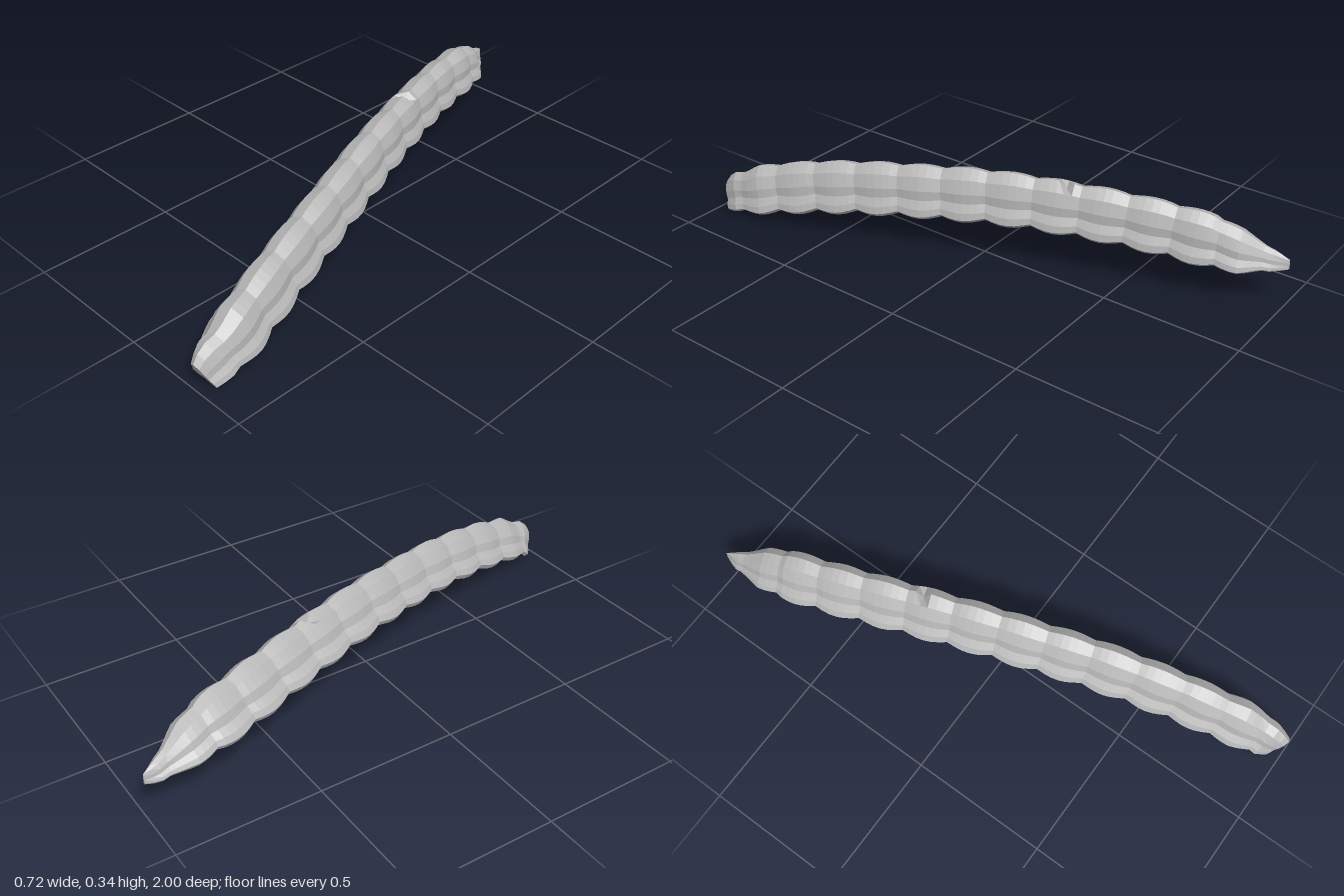
import * as THREE from 'three';

// Stations along the pod: z, centre x, underside y, half width, height
const stations = [
  [-1, -0.32, 0.145, 0.004, 0.035],
  [-0.95, -0.306, 0.137, 0.04, 0.072],
  [-0.85, -0.279, 0.13, 0.08, 0.135],
  [-0.75, -0.255, 0.133, 0.094, 0.172],
  [-0.6, -0.213, 0.145, 0.094, 0.178],
  [-0.45, -0.162, 0.156, 0.093, 0.179],
  [-0.3, -0.109, 0.162, 0.093, 0.18],
  [-0.15, -0.055, 0.164, 0.093, 0.181],
  [0, 0, 0.159, 0.094, 0.182],
  [0.3, 0.106, 0.132, 0.093, 0.181],
  [0.45, 0.154, 0.11, 0.093, 0.18],
  [0.6, 0.2, 0.082, 0.093, 0.178],
  [0.8, 0.257, 0.036, 0.093, 0.166],
  [0.9, 0.282, 0.014, 0.083, 0.135],
  [0.95, 0.294, 0.003, 0.055, 0.092],
];

// Half of the rounded triangular cross-section, from underside groove to ridge
const half = [
  [0, 0.12], [0.45, 0.03], [0.86, 0], [1, 0.1], [0.92, 0.24],
  [0.72, 0.4], [0.66, 0.6], [0.42, 0.86], [0, 1],
];
const section = [...half, ...half.slice(1, -1).reverse().map(([u, v]) => [-u, v])];
const segment = 0.15;

function stationAt(z) {
  let i = 0;
  while (i < stations.length - 2 && z > stations[i + 1][0]) i++;
  const a = stations[i], b = stations[i + 1];
  const t = THREE.MathUtils.clamp((z - a[0]) / (b[0] - a[0]), 0, 1);
  return a.map((v, k) => v + (b[k] - v) * t);
}

// One ring square to the path, rolled a little and swollen between the pinches
function ring(z) {
  const [, x, y, w, h] = stationAt(z);
  const p = stationAt(Math.max(z - 0.1, -1)), q = stationAt(Math.min(z + 0.1, 0.95));
  const dz = q[0] - p[0];
  const tip = THREE.MathUtils.smoothstep(z, 0.85, 0.95);
  const fade = THREE.MathUtils.smoothstep(z, -1, -0.85);
  const lean = -(q[2] - p[2]) / dz * fade + 0.28 * tip;
  const yaw = Math.atan2(q[1] - p[1], dz);
  const roll = 0.17 * fade * (1 - 0.6 * tip);
  const drop = w * Math.sin(roll);
  const swell = 1 + 0.14 * (Math.abs(Math.cos(Math.PI * (z + 1) / segment)) - 0.8);
  return section.map(([u, v], j) => {
    const s = j === 0 ? 1 : swell;
    const a = u * w * s * (1 - 0.25 * tip * v);
    let b = (0.5 + (v - 0.5) * s) * (h - drop * 0.9);
    // Small nick in the top ridge
    if (j === half.length - 1 && Math.abs(z + 0.275) < 0.02) b -= 0.03;
    const side = a * Math.cos(roll) + b * Math.sin(roll);
    const up = drop + b * Math.cos(roll) - a * Math.sin(roll);
    return [
      x + side * Math.cos(yaw),
      Math.max(0, y + up),
      Math.max(-1, z - side * Math.sin(yaw) * fade * (1 - tip) + lean * up),
    ];
  });
}

function podGeometry() {
  const count = 78, n = section.length, positions = [], index = [];
  for (let i = 0; i <= count; i++) {
    for (const p of ring(-1 + 1.95 * i / count)) positions.push(...p);
  }
  for (let i = 0; i < count; i++) {
    for (let j = 0; j < n; j++) {
      const k = (j + 1) % n;
      const a = i * n + j, b = i * n + k, c = b + n, d = a + n;
      index.push(a, b, c, a, c, d);
    }
  }
  // Closed ends, fanned from the underside groove
  const last = count * n;
  for (let j = 1; j < n - 1; j++) {
    index.push(0, j + 1, j);
    index.push(last, last + j, last + j + 1);
  }
  const indexed = new THREE.BufferGeometry();
  indexed.setAttribute('position', new THREE.Float32BufferAttribute(positions, 3));
  indexed.setIndex(index);
  const geometry = indexed.toNonIndexed();
  geometry.computeVertexNormals();
  return geometry;
}

export function createModel() {
  const group = new THREE.Group();
  group.name = 'segmentedPod';
  const grey = new THREE.MeshStandardMaterial({ color: 0xb8b8b8, flatShading: true, side: THREE.DoubleSide });
  grey.name = 'plain grey';
  const body = new THREE.Mesh(podGeometry(), grey);
  body.name = 'podBody';
  group.add(body);
  return group;
}
